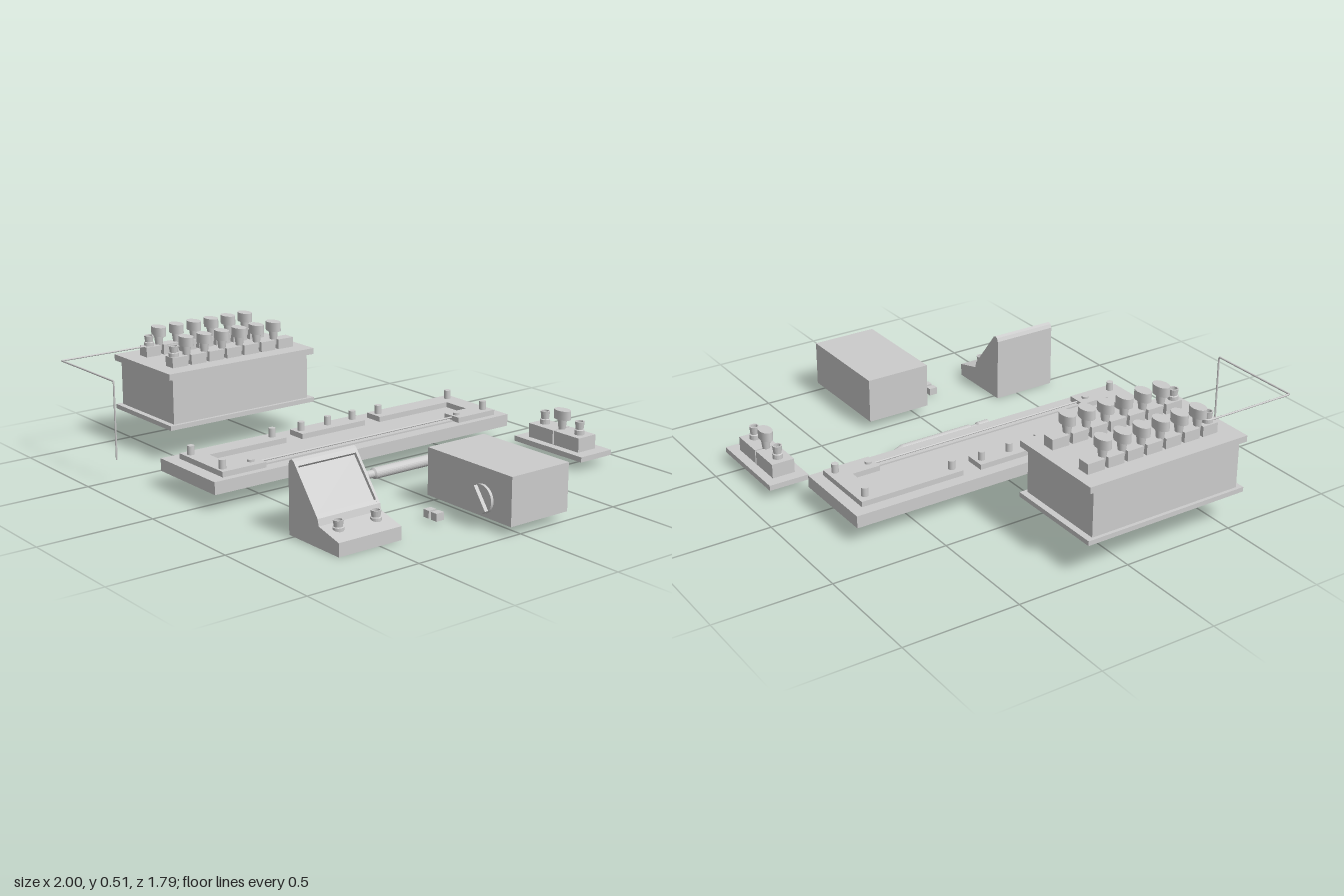
import * as THREE from 'three';

const grey = new THREE.MeshStandardMaterial({ color: 0xcccccc, side: THREE.DoubleSide });

function add(parent, name, geo, x = 0, y = 0, z = 0) {
  const m = new THREE.Mesh(geo, grey);
  m.name = name;
  m.position.set(x, y, z);
  parent.add(m);
  return m;
}

// Box given by its limits on each axis
function block(parent, name, x0, x1, y0, y1, z0, z1) {
  return add(parent, name, new THREE.BoxGeometry(x1 - x0, y1 - y0, z1 - z0),
    (x0 + x1) / 2, (y0 + y1) / 2, (z0 + z1) / 2);
}

// Upright cylinder standing on y
function post(parent, name, x, y, z, rTop, rBottom, h) {
  return add(parent, name, new THREE.CylinderGeometry(rTop, rBottom, h, 20), x, y + h / 2, z);
}

// Hollow-topped binding post
function terminal(parent, x, y, z, h) {
  const pts = [[0.022, 0], [0.022, h * 0.35], [0.017, h * 0.4], [0.021, h], [0.015, h], [0.015, h * 0.6], [0, h * 0.6]]
    .map(p => new THREE.Vector2(...p));
  const geo = new THREE.LatheGeometry(pts, 20).toNonIndexed();
  geo.computeVertexNormals();
  add(parent, 'terminal', geo, x, y, z);
}

// Plug with an oval grip and a tapered stem
function plug(parent, x, y, z, stem) {
  const g = new THREE.Group();
  g.name = 'plug';
  g.position.set(x, y, z);
  post(g, 'plugStem', 0, 0, 0, 0.021, 0.013, stem);
  post(g, 'plugGrip', 0, stem, 0, 0.043, 0.043, 0.04).scale.z = 0.64;
  parent.add(g);
}

function shapeOf(points) {
  return new THREE.Shape(points.map(p => new THREE.Vector2(...p)));
}

function extrude(points, depth) {
  return new THREE.ExtrudeGeometry(shapeOf(points), { depth, bevelEnabled: false });
}

function resistanceBox() {
  const g = new THREE.Group();
  g.name = 'resistanceBox';
  block(g, 'bottomPlate', -1, -0.55, 0.145, 0.165, -0.19, 0.565);
  block(g, 'boxBody', -0.985, -0.565, 0.165, 0.365, -0.163, 0.54);
  block(g, 'topPlate', -1, -0.55, 0.365, 0.392, -0.19, 0.565);
  // two rows of contact blocks with plugs in the gaps
  for (const [x, start, end, first, term] of [[-0.888, -0.14, 0.485, -0.053, 0.455], [-0.658, -0.135, 0.497, -0.048, 0.473]]) {
    let z0 = start;
    for (let i = 0; i <= 6; i++) {
      const plugZ = first + i * 0.0915;
      const z1 = i < 6 ? plugZ - 0.008 : end;
      block(g, 'contactBlock', x - 0.028, x + 0.028, 0.392, 0.436, z0, z1);
      if (i < 6) plug(g, x, 0.41, plugZ, 0.065);
      z0 = plugZ + 0.008;
    }
    terminal(g, x, 0.436, term, 0.046);
  }
  // bent connecting wire
  const corners = [[-0.885, 0.436, 0.45], [-0.885, 0.436, 0.887], [-0.455, 0.436, 0.887], [-0.455, 0.105, 0.887]]
    .map(p => new THREE.Vector3(...p));
  const path = new THREE.CurvePath();
  for (let i = 0; i < 3; i++) path.add(new THREE.LineCurve3(corners[i], corners[i + 1]));
  add(g, 'wire', new THREE.TubeGeometry(path, 90, 0.004, 8));
  return g;
}

function wireBridge() {
  const g = new THREE.Group();
  g.name = 'wireBridge';
  block(g, 'bridgeBase', -0.305, 0.09, 0.072, 0.125, -0.78, 0.77);
  // hooked end strips, mirrored front to back
  const hook = [[-0.253, 0.25], [-0.163, 0.25], [-0.163, 0.635], [-0.033, 0.635], [-0.033, 0.51],
    [0.06, 0.51], [0.06, 0.72], [-0.253, 0.72]];
  for (const s of [1, -1]) {
    const strip = add(g, 'endStrip', extrude(hook.map(([x, z]) => [x, -s * z]), 0.023), 0, 0.125, -0.008);
    strip.rotation.x = -Math.PI / 2;
    for (const [x, z] of [[-0.213, 0.285], [-0.213, 0.687], [0.02, 0.69]])
      post(g, 'screw', x, 0.148, s * z - 0.004, 0.015, 0.015, 0.038);
    post(g, 'wireClamp', 0.013, 0.148, s * 0.546, 0.015, 0.015, 0.01);
  }
  block(g, 'middleStrip', -0.253, -0.163, 0.125, 0.148, -0.175, 0.16);
  for (const z of [-0.145, -0.01, 0.13]) post(g, 'screw', -0.213, 0.148, z, 0.015, 0.015, 0.038);
  block(g, 'scale', -0.002, 0.03, 0.125, 0.132, -0.51, 0.51);
  const wire = post(g, 'bridgeWire', 0.013, -0.4, 0, 0.004, 0.004, 1.09);
  wire.rotation.x = Math.PI / 2;
  wire.position.y = 0.14;
  return g;
}

function plugKey() {
  const g = new THREE.Group();
  g.name = 'plugKey';
  block(g, 'keyBase', 0.2, 0.605, 0.04, 0.063, -0.9, -0.722);
  for (const s of [-1, 1]) {
    const a = 0.4 + s * 0.004, b = 0.4 + s * 0.15;
    block(g, 'keyBlock', Math.min(a, b), Math.max(a, b), 0.063, 0.125, -0.86, -0.759);
    terminal(g, 0.4 + s * 0.104, 0.125, -0.81, 0.057);
  }
  plug(g, 0.4, 0.105, -0.81, 0.065);
  return g;
}

function probe() {
  // turned pencil-like contact with a rounded tip
  const pts = [[0, -0.16], [0.024, -0.16], [0.024, -0.108], [0.017, -0.1], [0.017, -0.072], [0.024, -0.065],
    [0.024, 0.275], [0.012, 0.31], [0.006, 0.323], [0, 0.327]].map(p => new THREE.Vector2(...p));
  const geo = new THREE.LatheGeometry(pts, 24).toNonIndexed();
  geo.computeVertexNormals();
  const m = new THREE.Mesh(geo, grey);
  m.name = 'probe';
  m.position.set(0.198, 0.047, 0);
  m.rotation.x = -Math.PI / 2;
  return m;
}

function powerBox() {
  const g = new THREE.Group();
  g.name = 'powerBox';
  block(g, 'case', 0.52, 1, 0.037, 0.235, -0.245, 0.05);
  // round dial with a slanted grip
  const dial = new THREE.Group();
  dial.name = 'dial';
  dial.position.set(0.855, 0.115, 0);
  dial.rotation.z = 0.63;
  for (const [r, z, d] of [[0.02, 0.055, 0.014], [0.058, 0.067, 0.012]])
    add(dial, 'dialDisc', new THREE.CylinderGeometry(r, r, d, 32), 0, 0, z).rotation.x = Math.PI / 2;
  block(dial, 'dialGrip', -0.013, 0.013, -0.055, 0.055, 0.073, 0.09);
  g.add(dial);
  // pair of small loose lugs
  for (const x of [0.663, 0.708]) {
    block(g, 'lug', x - 0.016, x + 0.016, 0.01, 0.042, 0.142, 0.18);
  }
  return g;
}

function meter() {
  const g = new THREE.Group();
  g.name = 'meter';
  const back = [[0.775, 0], [0.47, 0], [0.47, 0.28], [0.477, 0.296], [0.49, 0.302], [0.503, 0.295]];
  const foot = [[0.648, 0.112], [0.655, 0.085], [0.775, 0.055]];
  // side cheeks, with the dial face sunk between them
  for (const z of [0.395, 0.678]) add(g, 'cheek', extrude([...back, ...foot], 0.012), 0, 0, z);
  const sunk = [...back, [0.515, 0.28], [0.505, 0.27], [0.627, 0.118], [0.637, 0.125], ...foot];
  add(g, 'meterBody', extrude(sunk, 0.271), 0, 0, 0.407);
  for (const z of [0.455, 0.632]) terminal(g, 0.697, 0.068, z, 0.044);
  return g;
}

export function createModel() {
  const model = new THREE.Group();
  model.name = 'bridgeExperimentSet';
  model.add(resistanceBox(), wireBridge(), plugKey(), probe(), powerBox(), meter());
  return model;
}
